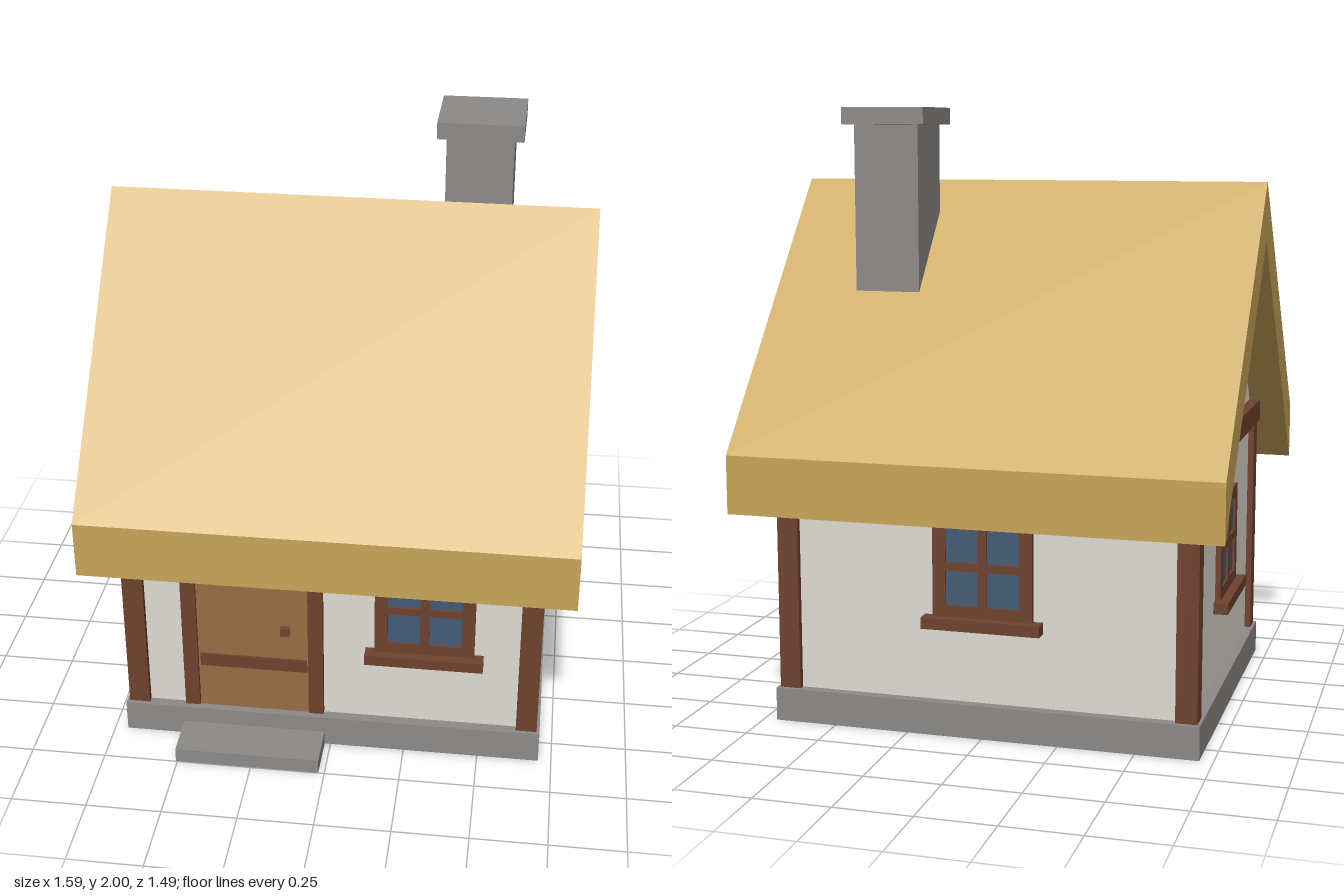
import * as THREE from 'three';

const material = (name, color) => {
  const m = new THREE.MeshStandardMaterial({ color });
  m.name = name;
  return m;
};

export function createModel() {
  const thatch = material('thatch', 0xc8a558);
  const plaster = material('plaster', 0xdedad2);
  const stone = material('stone', 0x8c8a88);
  const timber = material('timber', 0x6f422e);
  const doorWood = material('door wood', 0x9a6b44);
  const glass = material('window glass', 0x445a75);

  const model = new THREE.Group();
  model.name = 'cottage';
  const house = new THREE.Group();
  house.name = 'house';
  house.position.z = -0.004;
  model.add(house);

  const add = (parent, name, geometry, mat) => {
    const mesh = new THREE.Mesh(geometry, mat);
    mesh.name = name;
    parent.add(mesh);
    return mesh;
  };
  // Box given by its low and high corners
  const box = (parent, name, mat, [x0, y0, z0], [x1, y1, z1]) => {
    const g = new THREE.BoxGeometry(x1 - x0, y1 - y0, z1 - z0);
    g.translate((x0 + x1) / 2, (y0 + y1) / 2, (z0 + z1) / 2);
    return add(parent, name, g, mat);
  };
  // Profile in (z, y), extruded along x and centred
  const alongX = (points, width) => {
    const shape = new THREE.Shape(points.map(([z, y]) => new THREE.Vector2(z, y)));
    const g = new THREE.ExtrudeGeometry(shape, { depth: width, bevelEnabled: false });
    return g.translate(0, 0, -width / 2).rotateY(Math.PI / 2);
  };

  // Foundation and doorstep
  box(house, 'foundation', stone, [-0.706, 0, -0.6], [0.706, 0.11, 0.6]);
  box(house, 'doorstep', stone, [-0.505, 0, 0.59], [-0.02, 0.05, 0.752]);

  // Walls with gables, and the roof over them
  add(house, 'walls', alongX([
    [-0.565, 0.1], [0.565, 0.1], [0.565, 0.94], [0, 1.59], [-0.565, 0.94],
  ], 1.35), plaster);
  add(house, 'roof', alongX([
    [-0.74, 0.72], [0, 1.57], [0.74, 0.72], [0.74, 0.91], [0, 1.76], [-0.74, 0.91],
  ], 1.594), thatch);

  // Corner posts and gable beams
  for (const sx of [-1, 1]) {
    for (const sz of [-1, 1]) {
      const post = box(house, 'cornerPost', timber, [-0.035, 0.11, -0.035], [0.035, 0.94, 0.035]);
      post.position.set(sx * 0.661, 0, sz * 0.551);
    }
    const beam = box(house, 'gableBeam', timber, [-0.03, 0.885, -0.55], [0.03, 0.96, 0.55]);
    beam.position.x = sx * 0.681;
  }

  // Chimney
  box(house, 'chimney', stone, [0.295, 1.2, -0.312], [0.514, 1.95, -0.092]);
  box(house, 'chimneyCap', stone, [0.265, 1.945, -0.345], [0.545, 2, -0.067]);

  // Door, facing +z
  const door = new THREE.Group();
  door.name = 'door';
  house.add(door);
  box(door, 'doorLeaf', doorWood, [-0.455, 0.11, 0.55], [-0.07, 0.785, 0.574]);
  for (const x of [-0.5, -0.075]) {
    box(door, 'doorJamb', timber, [x, 0.115, 0.55], [x + 0.05, 0.785, 0.586]);
  }
  box(door, 'doorLintel', timber, [-0.52, 0.78, 0.55], [-0.005, 0.83, 0.592]);
  for (const y of [0.28, 0.615]) {
    box(door, 'doorBand', timber, [-0.442, y, 0.57], [-0.08, y + 0.046, 0.582]);
  }
  box(door, 'doorKnob', timber, [-0.166, 0.43, 0.57], [-0.137, 0.46, 0.594]);

  // Windows: local origin on the wall face, facing local +z
  const rect = (path, x0, y0, x1, y1) =>
    path.moveTo(x0, y0).lineTo(x1, y0).lineTo(x1, y1).lineTo(x0, y1).closePath();
  const frameShape = new THREE.Shape();
  rect(frameShape, -0.165, 0.39, 0.165, 0.725);
  for (const x of [-0.122, 0.015]) {
    for (const y of [0.43, 0.571]) {
      const hole = new THREE.Path();
      rect(hole, x, y, x + 0.107, y + 0.114);
      frameShape.holes.push(hole);
    }
  }
  const frameGeometry = new THREE.ExtrudeGeometry(frameShape, { depth: 0.026, bevelEnabled: false });
  frameGeometry.translate(0, 0, -0.008);
  const addWindow = (name, x, z, turn) => {
    const w = new THREE.Group();
    w.name = name;
    w.position.set(x, 0, z);
    w.rotation.y = turn;
    house.add(w);
    add(w, 'windowFrame', frameGeometry, timber);
    box(w, 'windowPanes', glass, [-0.14, 0.41, 0.002], [0.14, 0.705, 0.01]);
    box(w, 'windowSill', timber, [-0.196, 0.355, -0.01], [0.196, 0.392, 0.048]);
  };
  addWindow('frontWindow', 0.312, 0.565, 0);
  addWindow('backWindow', 0, -0.565, Math.PI);
  addWindow('rightWindow', -0.675, 0, -Math.PI / 2);

  return model;
}
